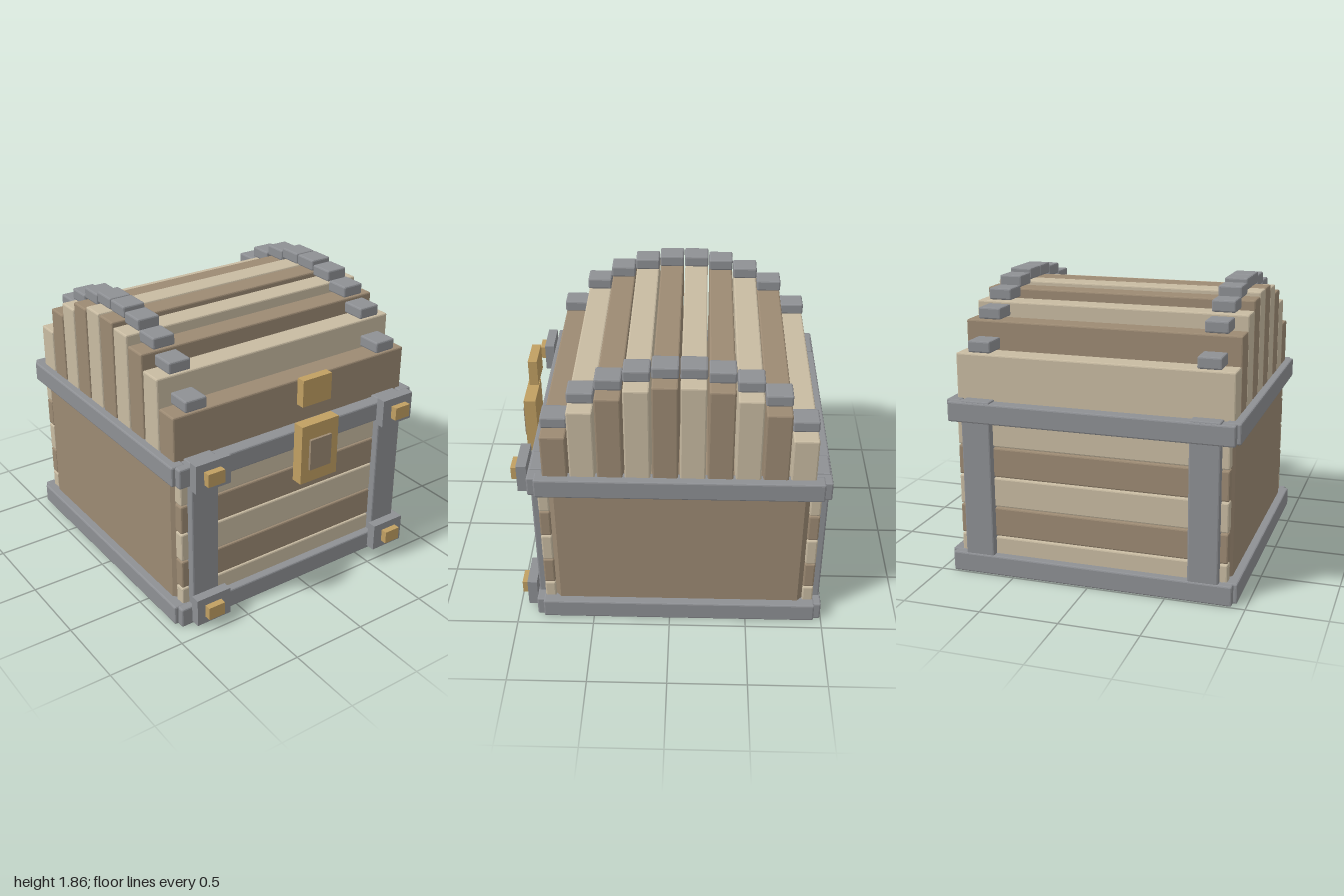
import * as THREE from 'three';
import { RoundedBoxGeometry } from 'three/addons/geometries/RoundedBoxGeometry.js';

const mat = (name, color) => {
  const m = new THREE.MeshStandardMaterial({ color });
  m.name = name;
  return m;
};

export function createModel() {
  const darkWood = mat('darkWood', 0x9c8a73);
  const lightWood = mat('lightWood', 0xc8bba2);
  const iron = mat('iron', 0x8e9094);
  const brass = mat('brass', 0xc09f62);

  const chest = new THREE.Group();
  chest.name = 'chest';
  const midZ = -0.06; // centre of the wooden box, behind the lock

  // Box given by its limits on each axis, with an optional small bevel
  function block(name, material, [x0, x1], [y0, y1], [z0, z1], bevel = 0) {
    const size = [x1 - x0, y1 - y0, z1 - z0];
    const geo = bevel ? new RoundedBoxGeometry(...size, 1, bevel) : new THREE.BoxGeometry(...size);
    if (bevel) geo.computeVertexNormals(); // crisp facets
    const mesh = new THREE.Mesh(geo, material);
    mesh.name = name;
    mesh.position.set((x0 + x1) / 2, (y0 + y1) / 2, (z0 + z1) / 2);
    chest.add(mesh);
  }
  // Limits mirrored to the side s
  const side = (s, a, b) => (s > 0 ? [a, b] : [-b, -a]);
  const alongZ = (s, a, b) => side(s, a, b).map((v) => v + midZ);

  // Body with chamfered upright corners
  const w = 0.885, d = 0.838, c = 0.06;
  const outline = new THREE.Shape([
    [w, d - c], [w - c, d], [c - w, d], [-w, d - c],
    [-w, c - d], [c - w, -d], [w - c, -d], [w, c - d],
  ].map(([x, y]) => new THREE.Vector2(x, y)));
  const body = new THREE.Mesh(
    new THREE.ExtrudeGeometry(outline, { depth: 1.05, bevelEnabled: false }), darkWood);
  body.name = 'body';
  body.rotation.x = -Math.PI / 2;
  body.position.set(0, 0.03, midZ);
  chest.add(body);

  for (const s of [-1, 1]) {
    // Horizontal slats on front and back
    for (let i = 0; i < 5; i++) {
      const y = 0.05 + i * 0.198;
      block('slat', i % 2 ? darkWood : lightWood, [-0.875, 0.875], [y, y + 0.192], alongZ(s, 0.81, 0.88), 0.01);
    }
    // Iron rails around the bottom and the rim
    for (const y of [0, 1]) {
      block('crossRail', iron, [-0.915, 0.915], [y, y + 0.13], alongZ(s, 0.84, 0.935), 0.01);
      block('sideRail', iron, side(s, 0.845, 0.94), [y + 0.003, y + 0.133], [midZ - 0.89, midZ + 0.89], 0.01);
    }
    // Upright straps
    for (const t of [-1, 1]) {
      block('strap', iron, side(t, 0.635, 0.827), [0.02, 1.14], alongZ(s, 0.835, 0.927), 0.01);
    }
    // Corner plates with studs on the front
    for (const y of [0.025, 0.98]) {
      block('cornerPlate', iron, side(s, 0.6, 0.845), [y, y + 0.187], [0.88, 0.943]);
      block('stud', brass, side(s, 0.67, 0.788), [y + 0.048, y + 0.135], [0.943, 0.987]);
    }
  }

  // Lid boards stepped into an arch, each topped by two iron blocks
  const tops = [1.42, 1.6, 1.695, 1.755, 1.78];
  for (let i = 0; i < 10; i++) {
    const top = tops[Math.min(i, 9 - i)];
    const z = 0.7 - i * 0.1685;
    block('lidBoard', i % 2 ? lightWood : darkWood, [-0.89, 0.89], [1.03, top], [z - 0.078, z + 0.078], 0.01);
    for (const s of [-1, 1]) {
      block('lidBlock', iron, side(s, 0.655, 0.805), [top + 0.008, top + 0.082], [z - 0.081, z + 0.081], 0.01);
    }
  }

  // Lock
  block('hasp', brass, [-0.067, 0.152], [1.318, 1.495], [0.88, 0.938]);
  block('lockPlate', brass, [-0.1, 0.185], [0.81, 1.21], [0.905, 0.983]);
  block('keyPlate', darkWood, [-0.042, 0.122], [0.9, 1.11], [0.975, 1.0]);

  return chest;
}
